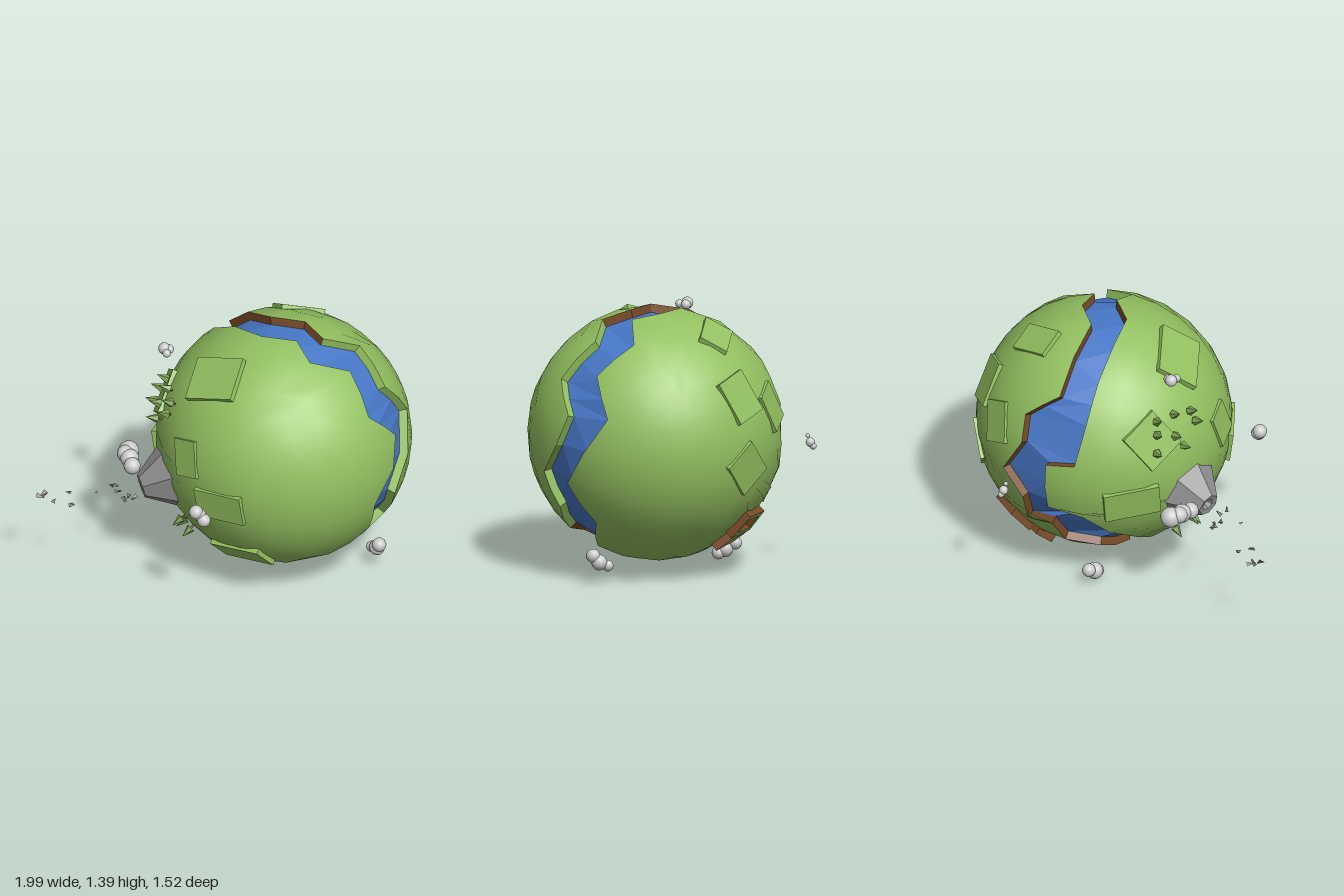
import * as THREE from 'three';

const V = (x, y, z) => new THREE.Vector3(x, y, z);
const R = 0.675, BED = 0.63;
const mat = (color, flatShading = false) => new THREE.MeshStandardMaterial({ color, flatShading });
const green = mat(0x93c060), plate = mat(0x93c060, true), brown = mat(0x7a4a28, true);
const blue = mat(0x4878c8, true), rock = mat(0x909090, true), leaf = mat(0x7ba052, true);
const cloudGrey = mat(0xcccccc);

// the two river banks as loops of directions: over the top, down the right, under, up the back
const BANK_A = [
  .06, .65, .115, .12, .6, .25, .33, .53, .23, .43, .35, .397, .57, .18, .312, .55, .014, .381,
  .45, -.148, .478, .42, -.338, .397, .215, -.5, .409, -.01, -.543, .39, -.07, -.62, .22,
  -.3, -.57, .15, -.495, -.444, -.1, -.48, -.33, -.28, -.462, -.22, -.43, -.32, -.186, -.56,
  -.32, -.05, -.57, -.328, .084, -.577, -.452, .107, -.48, -.437, .317, -.4, -.35, .5, -.264, -.12, .65, .06];
const BANK_B = [
  .114, .65, -.061, .2, .63, .07, .4, .545, .003, .52, .39, .17, .64, .184, .076, .635, -.006, .21,
  .56, -.18, .316, .51, -.39, .174, .27, -.57, .238, .13, -.64, .14, 0, -.66, .06,
  -.25, -.62, 0, -.34, -.527, -.24, -.23, -.5, -.39, -.29, -.32, -.51, -.117, -.365, -.55,
  -.177, -.18, -.62, -.057, -.045, -.667, -.175, .16, -.627, -.142, .301, -.58, -.26, .426, -.445, -.063, .65, -.12];

// unit directions, with a midpoint added on the long stretches of both banks
function readBanks() {
  const read = (a) => Array.from({ length: a.length / 3 }, (_, i) => V(a[3 * i], a[3 * i + 1], a[3 * i + 2]).normalize());
  const a = read(BANK_A), b = read(BANK_B), outA = [], outB = [];
  a.forEach((p, i) => {
    const k = (i + 1) % a.length;
    outA.push(p);
    outB.push(b[i]);
    if (Math.max(p.distanceTo(a[k]), b[i].distanceTo(b[k])) > 0.36) {
      outA.push(p.clone().add(a[k]).normalize());
      outB.push(b[i].clone().add(b[k]).normalize());
    }
  });
  return [outA, outB];
}

// directions interpolated along the great circle from p to q
function slerp(p, q, t) {
  const w = p.angleTo(q), s = Math.sin(w);
  if (s < 1e-5) return p.clone();
  return p.clone().multiplyScalar(Math.sin((1 - t) * w) / s).addScaledVector(q, Math.sin(t * w) / s).normalize();
}

// closed strips between successive loops of points; keep() can skip segments
function strips(rows, round, keep = () => true) {
  const pos = [];
  for (let j = 0; j + 1 < rows.length; j++) {
    const n = rows[j].length;
    for (let i = 0; i < n; i++) {
      const k = (i + 1) % n, a = rows[j][i], b = rows[j][k], c = rows[j + 1][k], d = rows[j + 1][i];
      if (!keep(a, b)) continue;
      for (const tri of [[a, b, c], [a, c, d]]) {
        const area = tri[1].clone().sub(tri[0]).cross(tri[2].clone().sub(tri[0])).length();
        if (area > 1e-7) tri.forEach((p) => pos.push(p.x, p.y, p.z));
      }
    }
  }
  const g = new THREE.BufferGeometry();
  g.setAttribute('position', new THREE.Float32BufferAttribute(pos, 3));
  if (round) {
    const nor = [];
    for (let i = 0; i < pos.length; i += 3) nor.push(...V(pos[i], pos[i + 1], pos[i + 2]).normalize().toArray());
    g.setAttribute('normal', new THREE.Float32BufferAttribute(nor, 3));
  } else g.computeVertexNormals();
  return g;
}

export function createModel() {
  const root = new THREE.Group();
  const planet = new THREE.Group();
  planet.name = 'planet';
  planet.position.set(0.33, 0.735, 0.05);
  root.add(planet);

  const add = (name, geo, material, parent = planet) => {
    const m = new THREE.Mesh(geo, material);
    m.name = name;
    parent.add(m);
    return m;
  };
  // stand an object on the planet, its y axis pointing away from the centre
  const stand = (obj, dir, dist, spin = 0) => {
    const up = dir.clone().normalize(), x = V(0, 1, 0).cross(up).normalize();
    obj.quaternion.setFromRotationMatrix(new THREE.Matrix4().makeBasis(x, up, x.clone().cross(up)));
    obj.rotateY(spin);
    obj.position.copy(up).multiplyScalar(dist);
    return obj;
  };

  // land, banks and river
  const [a, b] = readBanks();
  const scaled = (loop, r) => loop.map((p) => p.clone().multiplyScalar(r));
  const poleA = V(-.68, 0, .72).normalize(), poleB = V(.7, 0, -.7).normalize(), steps = 7;
  const rowsA = [], rowsB = [];
  for (let j = 0; j <= steps; j++) {
    rowsA.push(scaled(a.map((p) => slerp(poleA, p, j / steps)), R));
    rowsB.push(scaled(b.map((p) => slerp(p, poleB, j / steps)), R));
  }
  add('frontLand', strips(rowsA, true), green);
  add('backLand', strips(rowsB, true), green);
  const bedA = scaled(a, BED), bedB = scaled(b, BED);
  add('river', strips([bedA, bedB], false), blue);
  for (const rows of [[rowsA[steps], bedA], [bedB, rowsB[0]]]) {
    add('grassBank', strips(rows, false, (p, q) => p.x + q.x > 0.4), plate);
    add('earthBank', strips(rows, false, (p, q) => p.x + q.x <= 0.4), brown);
  }

  // flat, slightly raised fields: direction, width, depth, spin
  [[V(-.37, -.08, .55), .28, .17, .1], [V(-.37, .5, .22), .3, .24, .5], [V(-.53, .12, .38), .16, .2, .3],
    [V(-.24, -.45, .42), .3, .18, .2], [V(-.6, .22, -.1), .22, .24, .6], [V(.28, .27, -.54), .2, .24, .3],
    [V(.3, -.1, -.58), .2, .22, .7], [V(-.6, -.12, -.22), .3, .18, .1], [V(.04, .18, -.64), .17, .22, .4],
    [V(.1, .56, -.36), .24, .16, .5]]
    .forEach(([dir, w, d, spin]) => stand(add('field', new THREE.BoxGeometry(w, .03, d), plate), dir, R - .011, spin));

  // raised earth terraces underneath, one with a pit
  const terrace = (w, d, hole) => {
    const rect = (S, x, y) => new S([V(-x, -y), V(x, -y), V(x * .8, y), V(-x * .8, y)].map((p) => new THREE.Vector2(p.x, p.y)));
    const s = rect(THREE.Shape, w / 2, d / 2);
    if (hole) s.holes.push(rect(THREE.Path, w * .32, d * .3));
    return new THREE.ExtrudeGeometry(s, { depth: .08, bevelEnabled: false }).rotateX(-Math.PI / 2);
  };
  stand(add('pitTerrace', terrace(.23, .15, true), [plate, brown]), V(.07, -.43, -.51), R - .055);
  stand(add('lowerTerrace', terrace(.27, .1, false), [plate, brown]), V(.03, -.53, -.41), R - .055);

  // volcano with a sunken crater
  const profile = [[.26, 0], [.17, .1], [.065, .25], [.035, .245], [.02, .2], [0, .2]];
  const volcano = new THREE.LatheGeometry(profile.map(([x, y]) => new THREE.Vector2(x, y)), 7);
  stand(add('volcano', volcano, rock), V(-.95, -.24, .2), .55, .3);

  // trees around the volcano
  const treeDirs = [[-.66, .17, -.1], [-.63, .26, -.08], [-.62, .22, .02], [-.58, .32, .04], [-.64, .16, .06],
    [-.57, .3, .14], [-.6, .25, .16], [-.5, -.42, .1], [-.48, -.4, .22], [-.53, -.37, .18], [-.56, .3, -.06]];
  treeDirs.forEach(([x, y, z], i) => {
    const tree = new THREE.Group();
    tree.name = 'tree';
    add('trunk', new THREE.CylinderGeometry(.006, .006, .04, 5), brown, tree);
    add('crown', new THREE.ConeGeometry(.026, .065, 5), leaf, tree).position.y = .045;
    planet.add(stand(tree, V(x, y, z), R + .005, i));
  });

  // clouds: each a few overlapping balls of x, y, z, radius
  [[[-.48, .59, -.06, .055], [-.48, .59, .01, .05], [-.47, .58, .07, .045], [-.5, .6, -.02, .045]],
    [[-.17, .69, .7, .038], [-.13, .65, .72, .036], [-.15, .67, .7, .035]],
    [[-.3, 1.305, .06, .032], [-.275, 1.3, .06, .026], [-.29, 1.3, .1, .022]],
    [[-.03, .09, -.28, .036], [-.01, .06, -.23, .045], [.01, .04, -.2, .035]],
    [[.82, .155, .25, .038], [.81, .12, .22, .042], [.785, .1, .18, .03]],
    [[.1, .68, -.73, .025], [.1, .66, -.745, .018], [.1, .715, -.715, .012]]]
    .forEach((balls) => {
      const cloud = new THREE.Group();
      cloud.name = 'cloud';
      root.add(cloud);
      balls.forEach(([x, y, z, r]) => add('puff', new THREE.SphereGeometry(r, 14, 10), cloudGrey, cloud).position.set(x, y, z));
    });

  // shards of rock thrown out by the volcano: position and size
  [[-.96, .485, .19, .04], [-.94, .48, .16, .036], [-.89, .44, .17, .03], [-.8, .46, .24, .03], [-.81, .48, .15, .026],
    [-.67, .545, .26, .018], [-.58, .51, .14, .028], [-.55, .49, .17, .03], [-.52, .48, .23, .03],
    [-.5, .53, .28, .026], [-.56, .52, .16, .025], [-.47, .5, .25, .03]]
    .forEach(([x, y, z, s], i) => {
      const shard = add('shard', new THREE.TetrahedronGeometry(1), rock, root);
      shard.scale.set(s, s * .35, s * .55);
      shard.position.set(x, y, z);
      shard.rotation.set(i * 1.3, i * .9, (i % 3 - 1) * .5);
    });
  return root;
}
